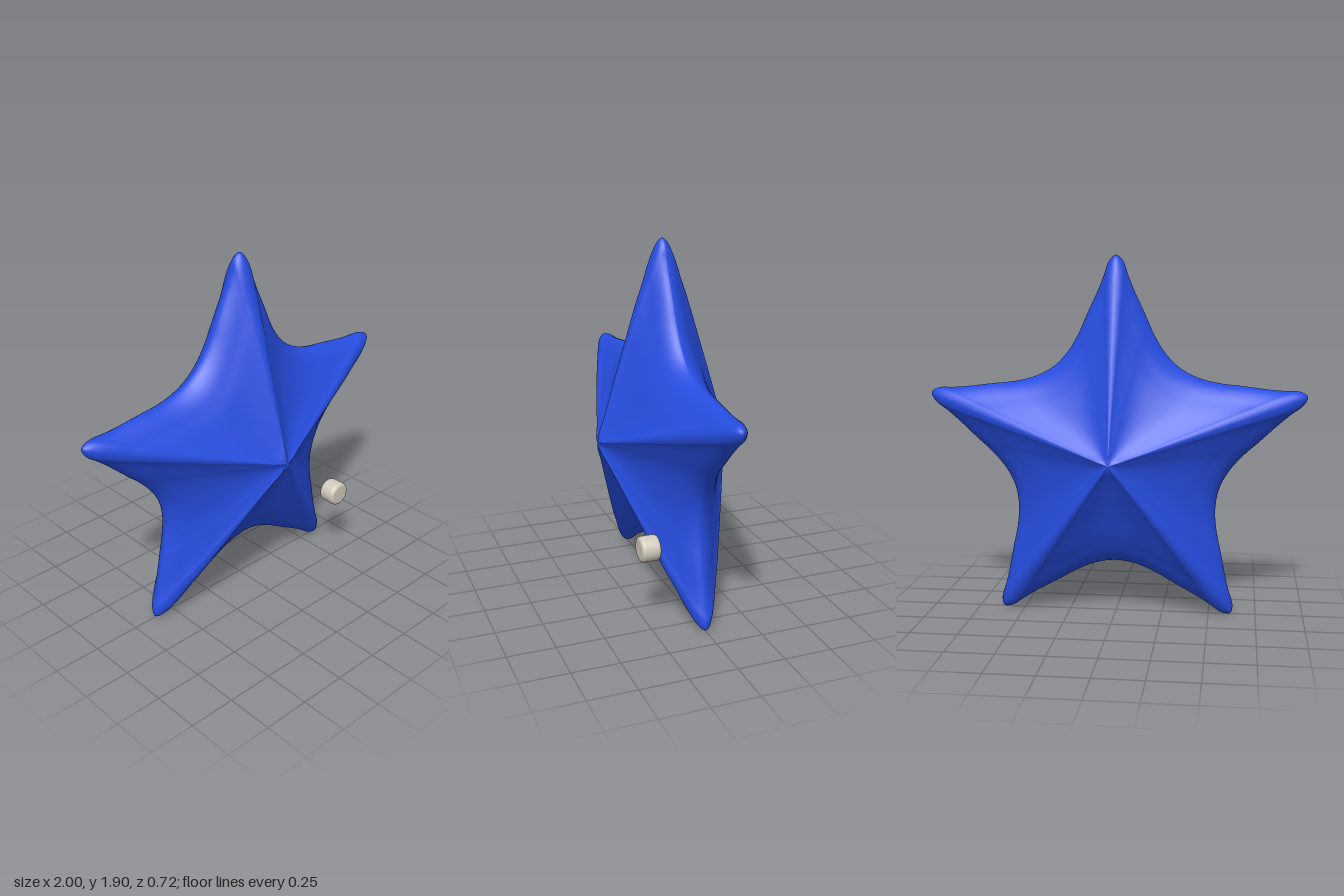
import * as THREE from 'three';
import { mergeVertices } from 'three/addons/utils/BufferGeometryUtils.js';

const CENTRE_Y = 0.86;

// Half of one arm: [half width, distance from centre], tip to valley
const ARM = [[0, 1.05], [0.036, 1.02], [0.062, 0.95], [0.09, 0.88], [0.155, 0.74],
  [0.2, 0.64], [0.262, 0.54], [0.338, 0.465]];

// Thickness from the middle to the rim: [fraction of radius, z]
const PROFILE = [[0, 0.362], [0.05, 0.352], [0.13, 0.323], [0.32, 0.262], [0.51, 0.2], [0.7, 0.137],
  [0.8, 0.1], [0.9, 0.065], [0.96, 0.038], [0.99, 0.017], [1, 0]];

const curve = (points, closed) => new THREE.CatmullRomCurve3(
  points.map(([x, y]) => new THREE.Vector3(x, y, 0)), closed);

// Counter-clockwise five-armed outline around the origin
function starOutline() {
  const right = ARM.slice(0, -1).reverse();
  const left = ARM.slice(1).map(([w, d]) => [-w, d]);
  const points = [];
  for (let k = 0; k < 5; k++) {
    const a = k * Math.PI * 2 / 5, c = Math.cos(a), s = Math.sin(a);
    for (const [x, y] of [...right, ...left]) points.push([x * c - y * s, x * s + y * c]);
  }
  return curve(points, true).getPoints(points.length * 5).slice(0, -1);
}

// Rings run from the front peak over the rim to the back peak
function starGeometry() {
  const outline = starOutline();
  const front = curve(PROFILE, false).getPoints(40).map(p => [Math.min(p.x, 1), p.y]);
  const back = front.slice(0, -1).reverse().map(([t, z]) => [t, -z]);
  const rings = [...front, ...back];
  const n = outline.length, positions = [], index = [];
  rings.forEach(([t, z], i) => {
    for (const p of outline) {
      // Valleys between arms are slightly fuller near the rim
      const valley = (1 - Math.cos(5 * Math.atan2(p.x, p.y))) / 2;
      const lift = 0.25 * valley * t ** 4 * (1 - t) * Math.sign(z);
      positions.push(p.x * t, p.y * t, z + lift);
    }
    if (i === rings.length - 1) return;
    for (let j = 0; j < n; j++) {
      const a = i * n + j, d = i * n + (j + 1) % n;
      if (i > 0) index.push(a, a + n, d);
      if (i === 0) index.push(a, a + n, d + n);
      else if (i < rings.length - 2) index.push(a + n, d + n, d);
    }
  });
  const geometry = new THREE.BufferGeometry();
  geometry.setAttribute('position', new THREE.Float32BufferAttribute(positions, 3));
  geometry.setIndex(index);
  const merged = mergeVertices(geometry, 1e-5);
  merged.computeVertexNormals();
  return merged;
}

// Short disc with rounded edges, axis along z
function buttonGeometry(radius, depth, bevel) {
  const h = depth / 2, points = [new THREE.Vector2(0, -h)];
  for (const side of [-1, 1]) {
    for (let i = 0; i <= 6; i++) {
      const a = (side < 0 ? i / 6 - 1 : i / 6) * Math.PI / 2;
      points.push(new THREE.Vector2(radius - bevel + bevel * Math.cos(a),
        side * (h - bevel) + bevel * Math.sin(a)));
    }
  }
  points.push(new THREE.Vector2(0, h));
  return new THREE.LatheGeometry(points, 40).rotateX(Math.PI / 2);
}

export function createModel() {
  const blue = new THREE.MeshStandardMaterial({ color: 0x264de0 });
  blue.name = 'blue';
  const cream = new THREE.MeshStandardMaterial({ color: 0xd0cabb });
  cream.name = 'cream';

  const model = new THREE.Group();
  model.name = 'star';

  const body = new THREE.Mesh(starGeometry(), blue);
  body.name = 'starBody';
  body.position.y = CENTRE_Y;

  const button = new THREE.Mesh(buttonGeometry(0.066, 0.1, 0.02), cream);
  button.name = 'button';
  button.position.set(0.485, 0.452, 0.26);

  model.add(body, button);
  return model;
}
